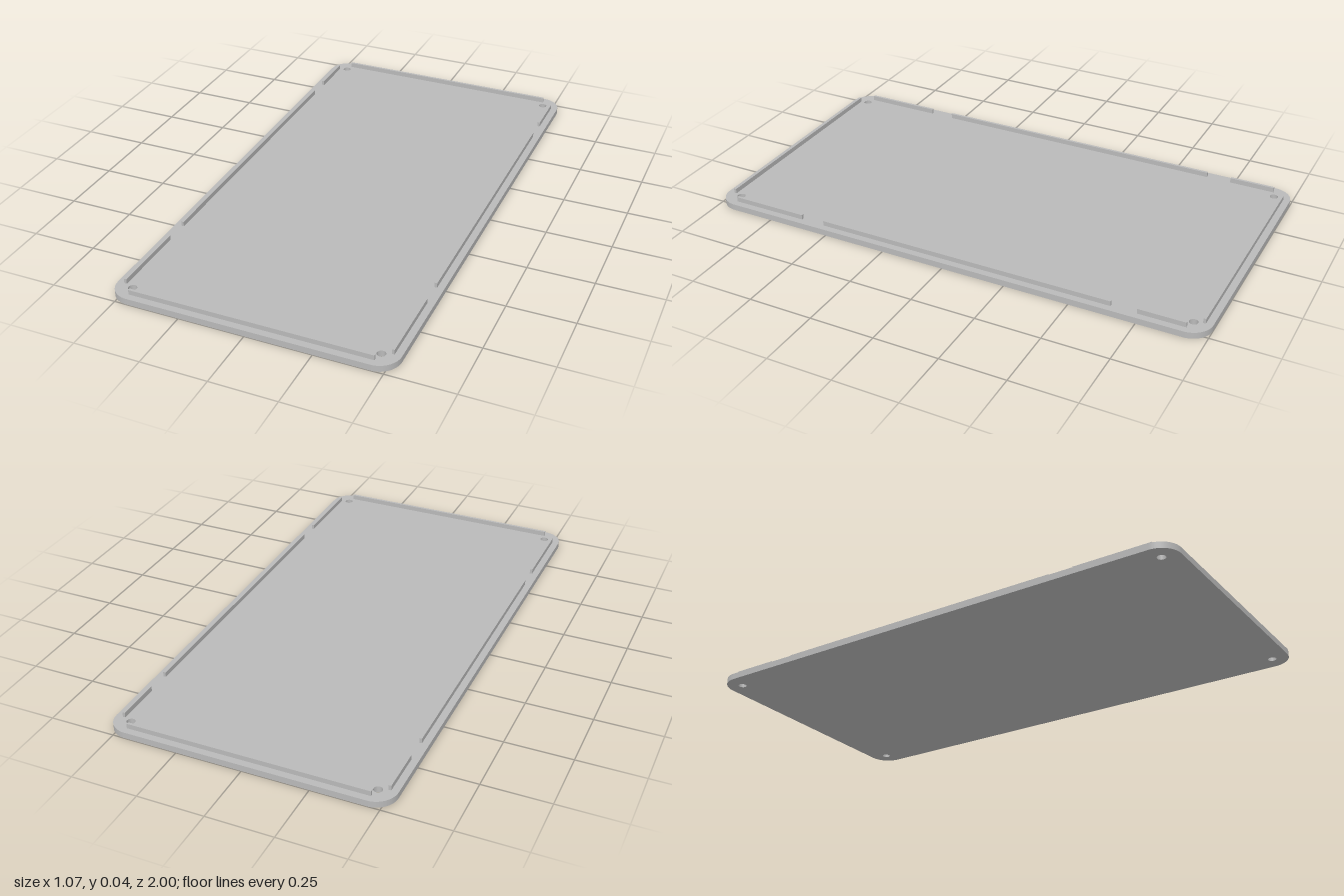
import * as THREE from 'three';

const HALF_W = 0.533, HALF_L = 1, CORNER = 0.08;
const PLATE_T = 0.024, RIB_TOP = 0.043, RIB_T = 0.01;

export function createModel() {
  const group = new THREE.Group();
  group.name = 'coverPlate';
  const grey = new THREE.MeshStandardMaterial({ color: 0xbababa });
  grey.name = 'light grey';

  // Rounded base plate with four screw holes
  const w = HALF_W, l = HALF_L, r = CORNER;
  const outline = new THREE.Shape();
  outline.absarc(w - r, l - r, r, 0, Math.PI / 2);
  outline.absarc(-w + r, l - r, r, Math.PI / 2, Math.PI);
  outline.absarc(-w + r, -l + r, r, Math.PI, Math.PI * 1.5);
  outline.absarc(w - r, -l + r, r, Math.PI * 1.5, Math.PI * 2);
  for (const sx of [-1, 1]) for (const sz of [-1, 1]) {
    const hole = new THREE.Path();
    hole.absarc(sx * 0.466, sz * 0.934, 0.016, 0, Math.PI * 2, true);
    outline.holes.push(hole);
  }
  const plateGeo = new THREE.ExtrudeGeometry(outline, { depth: PLATE_T, bevelEnabled: false, curveSegments: 16 });
  plateGeo.rotateX(-Math.PI / 2);
  const plate = new THREE.Mesh(plateGeo, grey);
  plate.name = 'basePlate';
  group.add(plate);

  // Upright locating ribs, sunk slightly into the plate
  const addRib = (name, sx, sz, x, z) => {
    const bottom = PLATE_T - 0.004;
    const rib = new THREE.Mesh(new THREE.BoxGeometry(sx, RIB_TOP - bottom, sz), grey);
    rib.position.set(x, (RIB_TOP + bottom) / 2, z);
    rib.name = name;
    group.add(rib);
  };

  // Three ribs along each long side
  const spans = [['Back', -0.922, -0.745], ['Middle', -0.648, 0.523], ['Front', 0.62, 0.922]];
  for (const [side, x] of [['left', 0.502], ['right', -0.502]]) {
    for (const [part, z0, z1] of spans) addRib(side + part + 'Rib', RIB_T, z1 - z0, x, (z0 + z1) / 2);
  }

  // One rib along each short end
  addRib('frontRib', 0.916, RIB_T, 0, 0.969);
  addRib('backRib', 0.916, RIB_T, 0, -0.969);

  return group;
}
